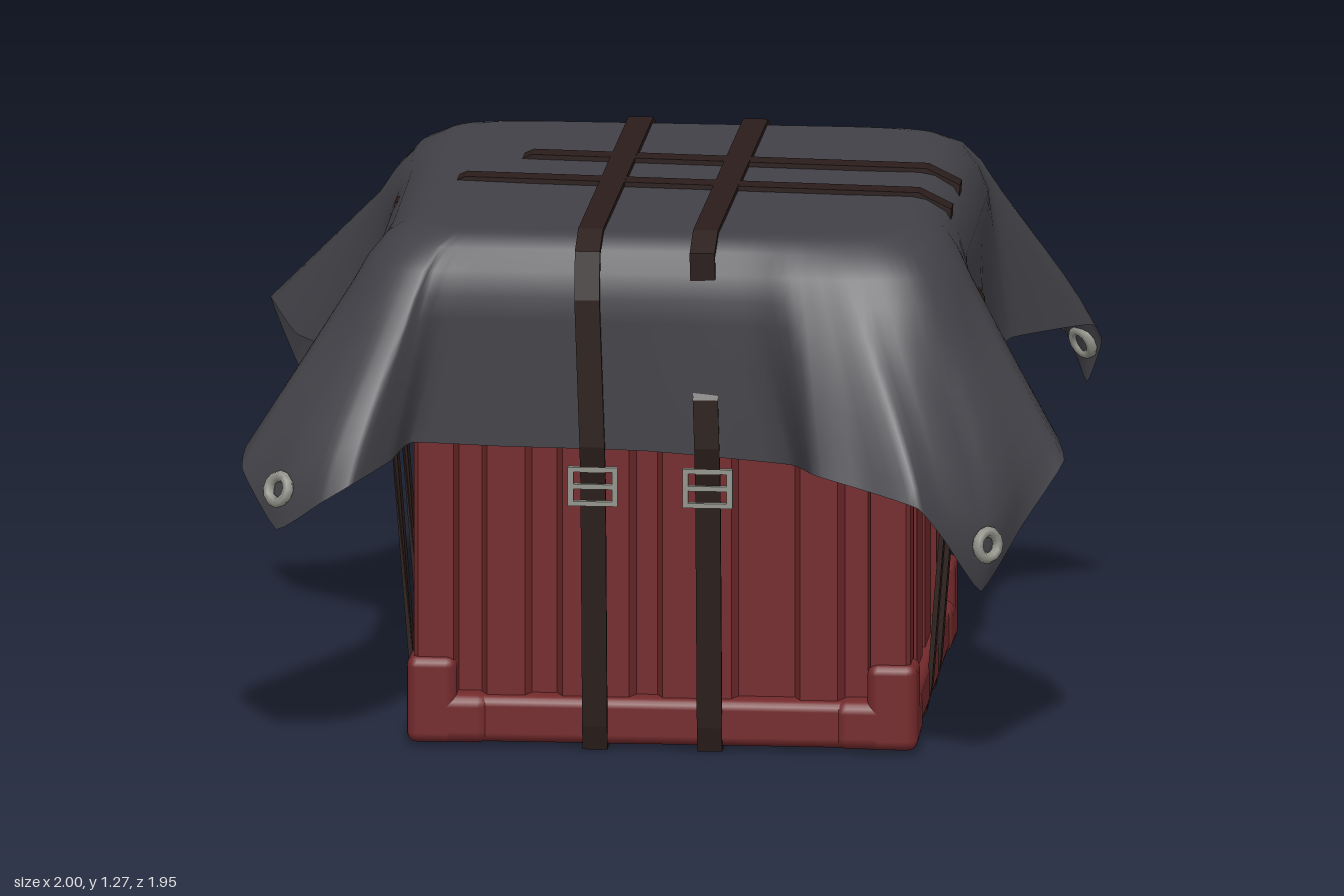
import * as THREE from 'three';
import { RoundedBoxGeometry } from 'three/addons/geometries/RoundedBoxGeometry.js';

const mat = (name, color, side = THREE.FrontSide) => {
  const m = new THREE.MeshStandardMaterial({ color, side });
  m.name = name;
  return m;
};
const add = (parent, name, geo, material) => {
  const m = new THREE.Mesh(geo, material);
  m.name = name;
  parent.add(m);
  return m;
};

// Hem of the cover, clockwise from the back; four hanging tips
const HEM = [
  [0.2, 0.73, -0.7], [0.55, 0.74, -0.71], [0.66, 0.74, -0.78], [0.72, 0.72, -0.92], [0.87, 0.68, -0.98],
  [0.93, 0.57, -0.91], [0.97, 0.68, -0.87], [0.95, 0.74, -0.79], [0.77, 0.73, -0.68], [0.735, 0.71, -0.56],
  [0.735, 0.72, -0.15], [0.735, 0.735, 0.2], [0.83, 0.77, 0.33], [0.95, 0.78, 0.43], [1, 0.73, 0.6],
  [0.91, 0.6, 0.73], [0.82, 0.46, 0.84], [0.74, 0.6, 0.92], [0.68, 0.69, 0.97], [0.55, 0.72, 0.92],
  [0.42, 0.745, 0.87], [0.35, 0.73, 0.7], [0, 0.75, 0.67], [-0.35, 0.755, 0.67], [-0.56, 0.76, 0.67],
  [-0.6, 0.74, 0.78], [-0.68, 0.71, 0.9], [-0.76, 0.66, 0.9], [-0.87, 0.58, 0.84], [-0.96, 0.7, 0.73],
  [-0.95, 0.75, 0.65], [-0.8, 0.76, 0.57], [-0.68, 0.74, 0.48], [-0.675, 0.74, 0.1], [-0.68, 0.73, -0.2],
  [-0.92, 0.77, -0.4], [-1, 0.82, -0.58], [-0.93, 0.62, -0.65], [-0.78, 0.4, -0.71], [-0.6, 0.58, -0.8],
  [-0.38, 0.75, -0.9], [-0.25, 0.75, -0.85], [-0.2, 0.73, -0.72],
];
const TIPS = [5, 16, 28, 38];
const SUB = 4, N = HEM.length * SUB;
const hemCurve = new THREE.CatmullRomCurve3(HEM.map((p) => new THREE.Vector3(...p)), true, 'catmullrom', 0.2);
const hemAt = (k) => hemCurve.getPoint((((k % N) + N) % N) / N);

// Point on a rounded square ring of the cover, flared a little toward the hem
function ringPoint(k, ax, az, y, flare) {
  const d = new THREE.Vector3();
  for (let j = -6; j <= 6; j += 2) d.add(hemAt(k + j));
  const h = hemAt(k), dx = d.x / 7 - 0.025, dz = d.z / 7 + 0.01;
  const r = 1 / Math.pow(Math.pow(Math.abs(dx / ax), 9) + Math.pow(Math.abs(dz / az), 9), 1 / 9);
  const x = 0.025 + dx * r, z = -0.01 + dz * r;
  return new THREE.Vector3(x + (h.x - x) * flare, y, z + (h.z - z) * flare);
}

// Hanging part of the cover: t = 0 at the shoulder, 1 at the hem; tips curl inward
function skirtPoint(k, t) {
  const h = hemAt(k), s = ringPoint(k, 0.7, 0.68, 1.12, 0.15);
  const out = new THREE.Vector3(h.x - s.x, 0, h.z - s.z).normalize();
  const curl = 0.075 * THREE.MathUtils.clamp((0.74 - h.y) / 0.25, 0, 1);
  return s.lerp(h, t).addScaledVector(out, curl * 6.75 * t * t * (1 - t));
}

function coverGeometry() {
  const rings = [[0.001, 0.001, 1.26, 0], [0.3, 0.3, 1.26, 0], [0.57, 0.57, 1.263, 0], [0.605, 0.595, 1.257, 0.01],
    [0.65, 0.635, 1.23, 0.04], [0.68, 0.662, 1.18, 0.09]];
  const skirt = [0, 0.15, 0.3, 0.45, 0.6, 0.75, 0.88, 1];
  const pos = [], idx = [], rows = rings.length + skirt.length;
  for (const ring of rings) for (let k = 0; k < N; k++) pos.push(...ringPoint(k, ...ring).toArray());
  for (const t of skirt) for (let k = 0; k < N; k++) pos.push(...skirtPoint(k, t).toArray());
  for (let r = 0; r < rows - 1; r++) for (let k = 0; k < N; k++) {
    const a = r * N + k, b = r * N + (k + 1) % N, c = a + N, d = b + N;
    idx.push(a, d, c, a, b, d);
  }
  const g = new THREE.BufferGeometry();
  g.setAttribute('position', new THREE.Float32BufferAttribute(pos, 3));
  g.setIndex(idx);
  g.computeVertexNormals();
  return g;
}

// Crate walls: ribbed outline extruded upward
function wallGeometry() {
  const side = [[-0.585, 0.595], [-0.5, 0.595], [-0.49, 0.55]];
  for (const [a, b] of [[-0.42, -0.33], [-0.24, -0.08], [0.0, 0.165], [0.33, 0.42]])
    side.push([a - 0.015, 0.55], [a, 0.582], [b, 0.582], [b + 0.015, 0.55]);
  side.push([0.49, 0.55], [0.5, 0.595], [0.585, 0.595]);
  const pts = [];
  for (let k = 0; k < 4; k++) for (const [s, o] of side) {
    const c = Math.cos(k * Math.PI / 2), n = Math.sin(k * Math.PI / 2);
    pts.push(new THREE.Vector2(s * c + o * n, s * n - o * c));
  }
  const g = new THREE.ExtrudeGeometry(new THREE.Shape(pts), { depth: 1.185, bevelEnabled: false });
  return g.rotateX(-Math.PI / 2).translate(0, 0.025, 0);
}

// One side of a strap, bottom to top; above "reveal" it dips under the cover
function strapSide(out, reveal) {
  const dip = reveal < 1.1 ? [[out - 0.045, reveal + 0.07], [0.665, 1.1]] : [];
  return [[0.612, 0], [0.625, 0.06], [0.672, 0.66], [out, 0.76], [out, reveal], ...dip, [0.672, 1.235], [0.592, 1.273]];
}

// Closed strap loop; the top may start part way, and drifts sideways by "slope"
function strapGeometry(right, left, topStart, slope, x0) {
  const leftSide = strapSide(...left).map(([x, y]) => [-x, topStart && y > 1.2 ? y - 0.035 : y]).reverse();
  const top = topStart ? [[topStart, 1.272], [topStart - 0.06, 1.245]] : [];
  const loop = [...strapSide(...right), ...top, ...leftSide];
  const shape = new THREE.Shape(loop.map(([x, y]) => new THREE.Vector2(x, y)));
  shape.holes.push(new THREE.Path(loop.map(([x, y]) => new THREE.Vector2(x * 0.982, 0.63 + (y - 0.63) * 0.982))));
  const g = new THREE.ExtrudeGeometry(shape, { depth: 0.06, bevelEnabled: false }).translate(0, 0, -0.03);
  const p = g.attributes.position;
  for (let i = 0; i < p.count; i++)
    p.setZ(i, p.getZ(i) + slope * (p.getX(i) - x0) * THREE.MathUtils.smoothstep(p.getY(i), 0.7, 1.2));
  g.computeVertexNormals();
  return g;
}

function rect(P, x, y, w, h) {
  return new P([[-w, -h], [w, -h], [w, h], [-w, h]].map(([a, b]) => new THREE.Vector2(x + a / 2, y + b / 2)));
}
function buckleGeometry() {
  const s = rect(THREE.Shape, 0, 0, 0.12, 0.095);
  for (const y of [-0.021, 0.021]) s.holes.push(rect(THREE.Path, 0, y, 0.092, 0.03));
  return new THREE.ExtrudeGeometry(s, { depth: 0.016, bevelEnabled: false });
}

export function createModel() {
  const model = new THREE.Group();
  model.name = 'coveredCrate';
  const red = mat('crate red', 0x73292b);
  const cloth = mat('cover grey', 0x424147, THREE.DoubleSide);
  const leather = mat('strap brown', 0x2a1d1b);
  const metal = mat('buckle grey', 0x94948c);

  // Crate with base rails and stepped corner caps
  const crate = new THREE.Group();
  crate.name = 'crate';
  crate.position.x = 0.035;
  model.add(crate);
  add(crate, 'ribbedWalls', wallGeometry(), red);
  const railGeo = new RoundedBoxGeometry(1.18, 0.115, 0.12, 2, 0.025);
  const capGeo = new RoundedBoxGeometry(0.2, 0.12, 0.2, 2, 0.03);
  const capPostGeo = new RoundedBoxGeometry(0.12, 0.212, 0.12, 2, 0.025);
  for (let k = 0; k < 4; k++) {
    const side = new THREE.Group();
    side.name = 'baseSide';
    side.rotation.y = k * Math.PI / 2;
    add(side, 'baseRail', railGeo, red).position.set(0, 0.068, 0.545);
    add(side, 'cornerCap', capGeo, red).position.set(0.512, 0.068, 0.512);
    add(side, 'cornerCapPost', capPostGeo, red).position.set(0.552, 0.114, 0.552);
    crate.add(side);
  }

  // Draped cover and its eyelets
  add(model, 'cover', coverGeometry(), cloth);
  const eyelet = new THREE.TorusGeometry(0.032, 0.014, 6, 12);
  for (const i of TIPS) {
    const k = i * SUB;
    const across = skirtPoint(k + 4, 0.82).sub(skirtPoint(k - 4, 0.82));
    const n = skirtPoint(k, 0.9).sub(skirtPoint(k, 0.7)).cross(across).normalize();
    const p = skirtPoint(k, 0.82);
    if (n.x * p.x + n.z * p.z < 0) n.negate();
    const e = add(model, 'eyelet', eyelet, metal);
    e.position.copy(p).addScaledVector(n, 0.005);
    e.quaternion.setFromUnitVectors(new THREE.Vector3(0, 0, 1), n);
  }

  // Straps with a buckle on each side
  const buckle = buckleGeometry();
  const straps = [
    { at: [-0.125, 0, -0.01], turn: Math.PI / 2, geo: strapGeometry([0.7, 1.12], [0.695, 1.12], 0, 0.02, 0) },
    { at: [0.15, 0, -0.01], turn: Math.PI / 2, geo: strapGeometry([0.7, 0.9], [0.695, 0.88], 0, 0.02, 0) },
    { at: [0.02, 0, -0.135], turn: 0, geo: strapGeometry([0.727, 0.95], [0.69, 0.8], -0.36, 0.08, 0.67) },
    { at: [0.02, 0, 0.12], turn: 0, geo: strapGeometry([0.727, 0.79], [0.69, 0.8], -0.5, 0.08, 0.67) },
  ];
  for (const { at, turn, geo } of straps) {
    const g = new THREE.Group();
    g.name = 'strapWithBuckles';
    g.position.set(...at);
    g.rotation.y = turn;
    add(g, 'strap', geo, leather);
    for (const s of [-1, 1]) {
      const b = add(g, 'buckle', buckle, metal);
      b.position.set(s * 0.667, 0.66, 0);
      b.rotation.y = s * Math.PI / 2;
    }
    model.add(g);
  }
  return model;
}
